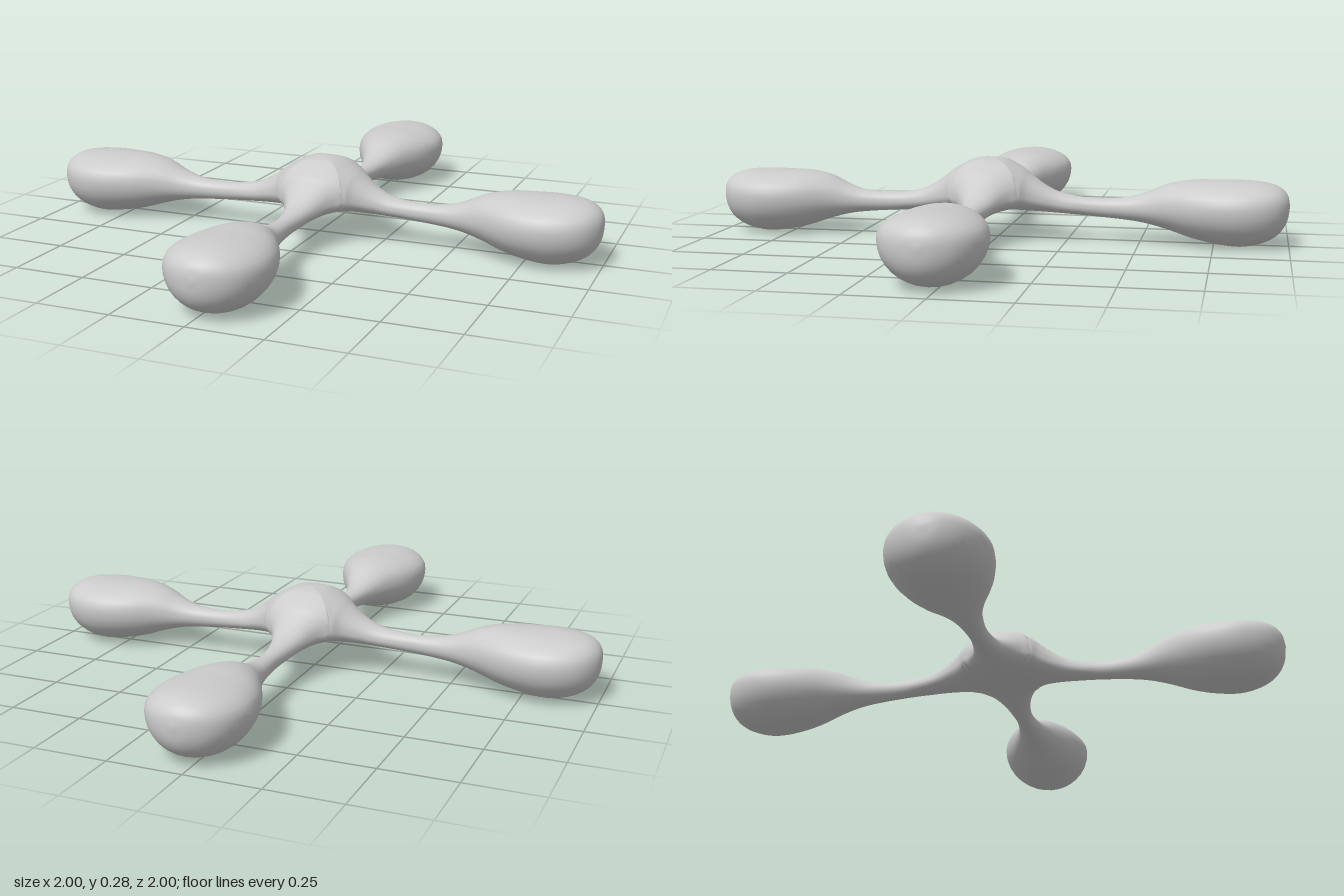
import * as THREE from 'three';
import { mergeVertices } from 'three/addons/utils/BufferGeometryUtils.js';

// Arm sections from the hub out to the tip: distance, half width, top, bottom, mid height
const SECTIONS = [
  [0, 0.35, 0.285, 0.105, 0.16],
  [0.06, 0.2, 0.275, 0.105, 0.16],
  [0.12, 0.12, 0.245, 0.103, 0.155],
  [0.15, 0.088, 0.222, 0.1, 0.15],
  [0.2, 0.061, 0.187, 0.097, 0.138],
  [0.26, 0.043, 0.162, 0.093, 0.125],
  [0.36, 0.031, 0.149, 0.086, 0.118],
  [0.46, 0.041, 0.155, 0.078, 0.118],
  [0.53, 0.06, 0.175, 0.068, 0.122],
  [0.6, 0.092, 0.205, 0.05, 0.13],
  [0.68, 0.132, 0.22, 0.024, 0.135],
  [0.76, 0.157, 0.222, 0.007, 0.138],
  [0.84, 0.162, 0.223, 0.0, 0.14],
  [0.91, 0.142, 0.219, 0.014, 0.14],
  [0.96, 0.104, 0.206, 0.042, 0.14],
  [0.99, 0.052, 0.18, 0.085, 0.14],
  [1, 0, 0.14, 0.14, 0.14],
];
const CENTRE = 0.025; // the hub sits slightly off the middle in x and z
const STEPS = 4;      // subdivisions between sections
const SIDES = 16;     // segments across the top and across the bottom

const profile = new THREE.CubicInterpolant(
  SECTIONS.map((_, i) => i), SECTIONS.flat(), 5, new Float32Array(5));

// One arm with its quarter of the hub; inside the hub it is mitred at 45 degrees
function addArm(quarter, shift, positions, indices) {
  const base = positions.length / 3;
  const rows = (SECTIONS.length - 1) * STEPS;
  const ring = 2 * (SIDES + 1);
  const p = new THREE.Vector3();
  const up = new THREE.Vector3(0, 1, 0);

  for (let i = 0; i <= rows; i++) {
    const [u, width, top, bottom, mid] = profile.evaluate(i / STEPS);
    const w = Math.max(width, 0);
    const limit = Math.min(u, w);
    const along = u + shift * THREE.MathUtils.clamp((u - 0.15) / 0.6, 0, 1);
    for (const half of [0, 1]) {
      for (let j = 0; j <= SIDES; j++) {
        const v = limit * Math.cos(Math.PI * (half + j / SIDES));
        const h = w > 0 ? Math.sqrt(Math.max(0, 1 - (v / w) ** 2)) : 0;
        const y = half ? mid + (bottom - mid) * h : mid + (top - mid) * h ** 0.85;
        p.set(along, y, v).applyAxisAngle(up, quarter * Math.PI / 2);
        positions.push(p.x + CENTRE, p.y, p.z + CENTRE);
      }
    }
  }
  for (let i = 0; i < rows; i++) {
    for (const half of [0, 1]) {
      for (let j = 0; j < SIDES; j++) {
        const a = base + i * ring + half * (SIDES + 1) + j;
        const b = a + ring;
        indices.push(a, b, a + 1, b, b + 1, a + 1);
      }
    }
  }
}

export function createModel() {
  const positions = [], indices = [];
  [-1, 1, 1, -1].forEach((sign, k) => addArm(k, sign * CENTRE, positions, indices));

  // Weld the four quarters into one smooth skin
  let geometry = new THREE.BufferGeometry();
  geometry.setAttribute('position', new THREE.Float32BufferAttribute(positions, 3));
  geometry.setIndex(indices);
  geometry = mergeVertices(geometry, 1e-4);
  geometry.computeVertexNormals();

  const body = new THREE.Mesh(geometry, new THREE.MeshStandardMaterial({ color: 0xcccccc }));
  body.name = 'hubWithFourBulbArms';
  const group = new THREE.Group();
  group.name = 'fourArmedBlob';
  group.add(body);
  return group;
}
